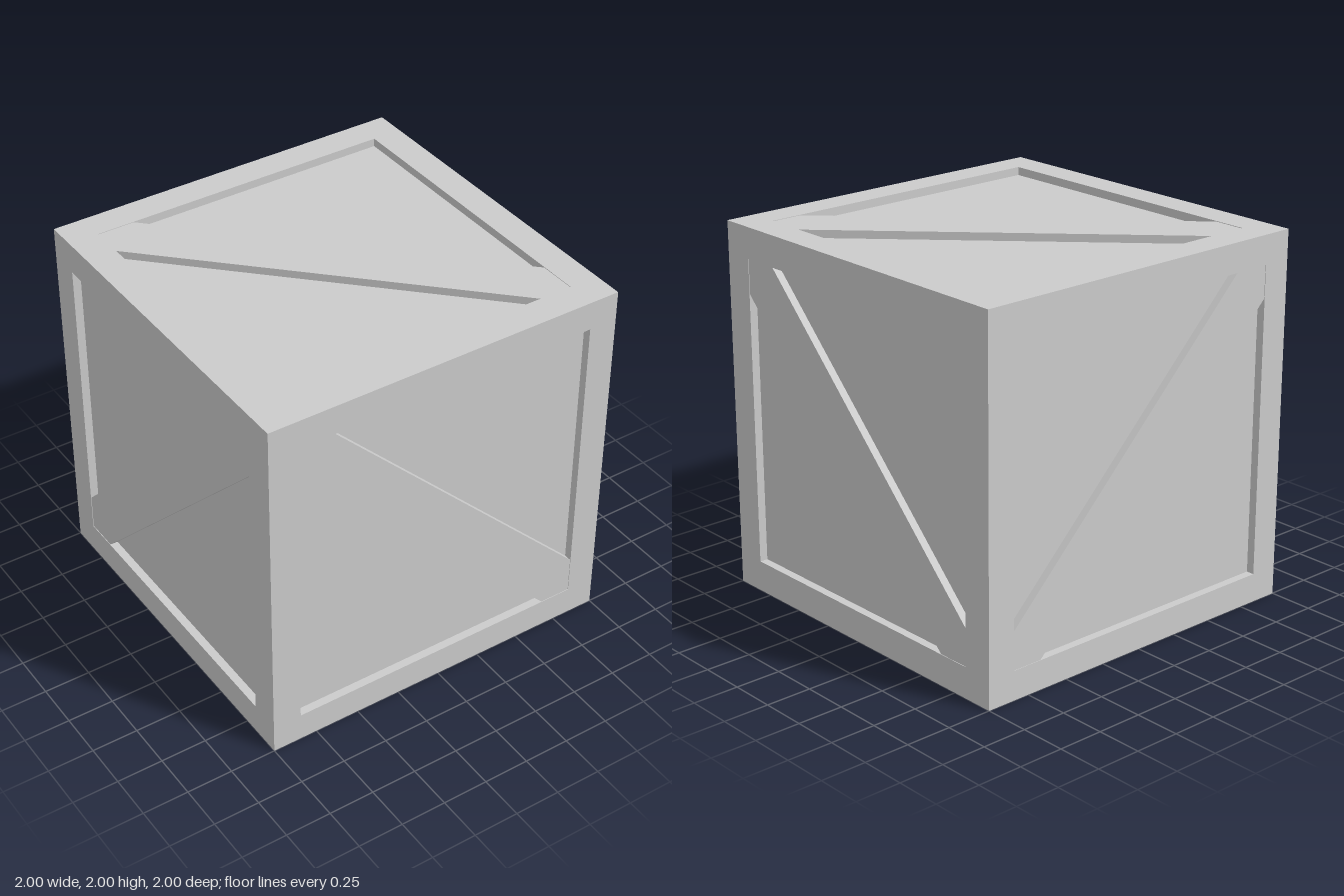
import * as THREE from 'three';

const DEPTH = 0.045;  // recess of the panels behind the frame
const GAP = 0.003;    // brace sits just below the frame surface
const INNER = 2 - 2 * DEPTH;

const material = new THREE.MeshStandardMaterial({ color: 0xcccccc, flatShading: true });

function polygon(points) {
  return new THREE.Shape(points.map(([u, v]) => new THREE.Vector2(u, v)));
}

function rectangle(w, h) {
  return polygon([[-w, -h], [w, -h], [w, h], [-w, h]]);
}

function slab(name, shape, depth) {
  const geometry = new THREE.ExtrudeGeometry(shape, { depth, bevelEnabled: false });
  const mesh = new THREE.Mesh(geometry, material);
  mesh.name = name;
  mesh.position.z = 1 - DEPTH;
  return mesh;
}

// One crate side facing +z: a square frame and a diagonal brace.
// s: half opening, a / b: where the upper / lower brace edges meet the opening
function crateSide(name, w, h, { s, a, b }, mirror) {
  const side = new THREE.Group();
  side.name = name;

  const frame = rectangle(w / 2, h / 2);
  frame.holes.push(rectangle(s, s));
  side.add(slab('frame', frame, DEPTH));

  const m = mirror ? -1 : 1;
  const brace = [[-s, s], [-a, s], [s, -a], [s, -s], [b, -s], [-s, b]];
  side.add(slab('brace', polygon(brace.map(([u, v]) => [u * m, v])), DEPTH - GAP));
  return side;
}

export function createModel() {
  const crate = new THREE.Group();
  crate.name = 'crate';

  // Inner box whose faces are the recessed panels
  const panels = new THREE.Mesh(new THREE.BoxGeometry(INNER, INNER, INNER), material);
  panels.name = 'panels';
  panels.position.y = 1;
  crate.add(panels);

  const frontBack = { s: 0.842, a: 0.638, b: 0.667 };
  const leftRight = { s: 0.832, a: 0.632, b: 0.645 };
  const topBottom = { s: 0.837, a: 0.632, b: 0.66 };

  // Opposite sides mirror the brace so that both run the same way
  const sides = [
    ['frontSide', 2, 2, frontBack, false, 0, 0],
    ['backSide', 2, 2, frontBack, true, 0, Math.PI],
    ['leftSide', INNER, 2, leftRight, false, 0, Math.PI / 2],
    ['rightSide', INNER, 2, leftRight, true, 0, -Math.PI / 2],
    ['topSide', INNER, INNER, topBottom, false, -Math.PI / 2, 0],
    ['bottomSide', INNER, INNER, topBottom, true, Math.PI / 2, 0],
  ];
  for (const [name, w, h, layout, mirror, rx, ry] of sides) {
    const side = crateSide(name, w, h, layout, mirror);
    side.rotation.set(rx, ry, 0);
    side.position.y = 1;
    crate.add(side);
  }
  return crate;
}
